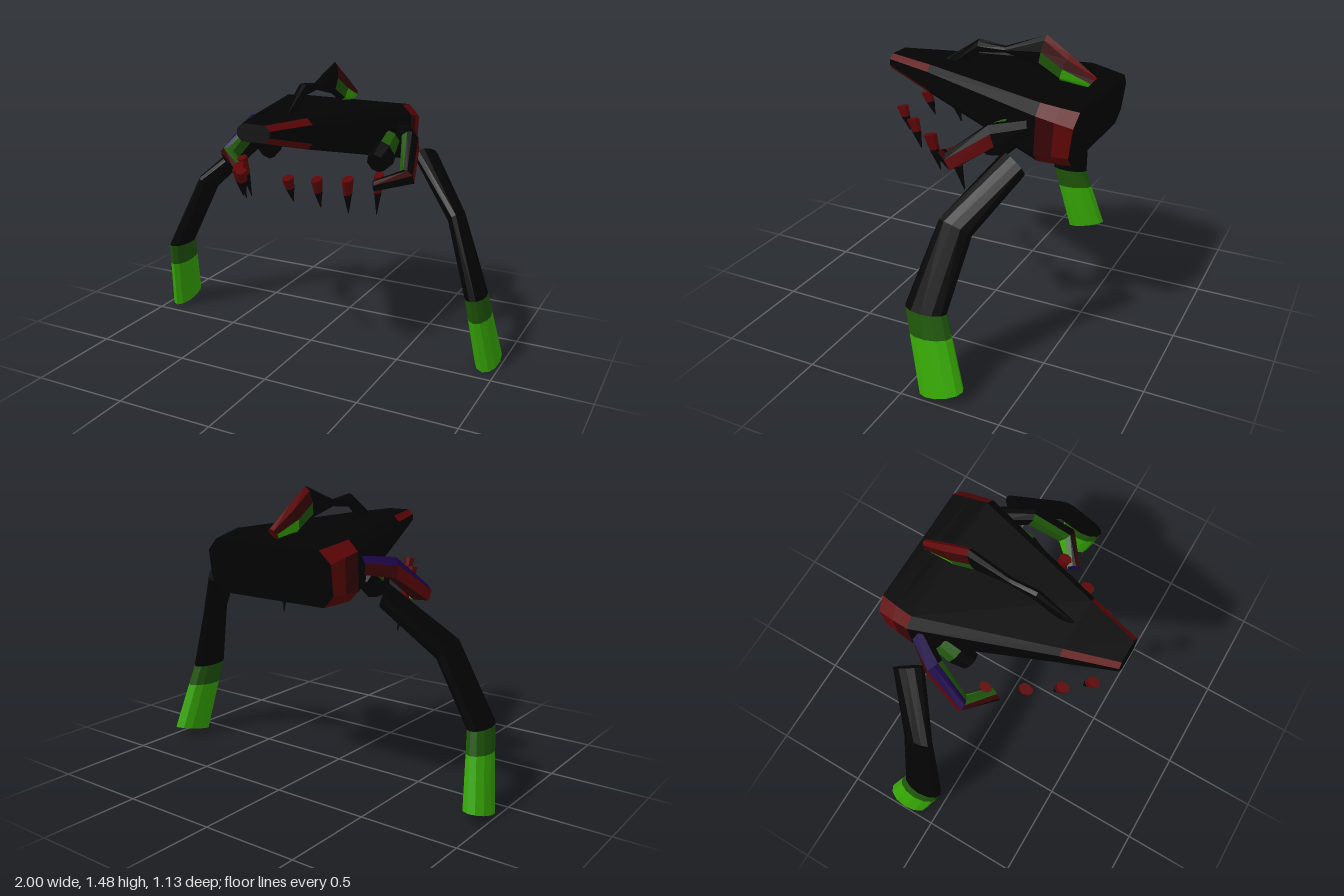
import * as THREE from 'three';

const mat = (name, color) => {
  const m = new THREE.MeshStandardMaterial({ color });
  m.name = name;
  return m;
};
const MATS = [mat('black', 0x030303), mat('red', 0x5e0506), mat('dark red', 0x380405),
  mat('bright green', 0x37a905), mat('dark green', 0x1f560a), mat('purple', 0x1a0445)];
const BLACK = 0, RED = 1, DARK_RED = 2, GREEN = 3, DARK_GREEN = 4, PURPLE = 5;

const V = (x, y, z) => new THREE.Vector3(x, y, z);

// Elliptical ring around centre c with half axes u and v
function ellipse(c, u, v, n) {
  return Array.from({ length: n }, (_, i) => {
    const a = (i / n) * Math.PI * 2;
    return V(...c).addScaledVector(V(...u), Math.cos(a)).addScaledVector(V(...v), Math.sin(a));
  });
}

const blend = (ringA, ringB, t) => ringA.map((p, i) => p.clone().lerp(ringB[i], t));

// Faceted closed loft through rings; pick(segment, side) chooses the colour of each panel
function loft(name, rings, pick, caps = [BLACK, BLACK], mirror = 1) {
  const buckets = MATS.map(() => []);
  const n = rings[0].length;
  for (let s = 0; s < rings.length - 1; s++) {
    for (let i = 0; i < n; i++) {
      const j = (i + 1) % n, A = rings[s], B = rings[s + 1];
      buckets[pick(s, i)].push([A[i], A[j], B[j]], [A[i], B[j], B[i]]);
    }
  }
  const first = rings[0], last = rings[rings.length - 1];
  for (let i = 1; i < n - 1; i++) {
    buckets[caps[0]].push([first[0], first[i + 1], first[i]]);
    buckets[caps[1]].push([last[0], last[i], last[i + 1]]);
  }
  // Signed volume tells whether the corners need turning round
  const o = first[0];
  let volume = 0;
  for (const [a, b, c] of buckets.flat()) {
    volume += a.clone().sub(o).dot(b.clone().sub(o).cross(c.clone().sub(o)));
  }
  const flip = volume * mirror < 0;
  const geo = new THREE.BufferGeometry();
  const pos = [], used = [];
  buckets.forEach((tris, m) => {
    if (!tris.length) return;
    geo.addGroup(pos.length / 3, tris.length * 3, used.length);
    used.push(MATS[m]);
    for (const [a, b, c] of tris) {
      for (const p of flip ? [a, c, b] : [a, b, c]) pos.push(p.x * mirror, p.y, p.z);
    }
  });
  geo.setAttribute('position', new THREE.Float32BufferAttribute(pos, 3));
  geo.computeVertexNormals();
  const mesh = new THREE.Mesh(geo, used);
  mesh.name = name;
  return mesh;
}

// Chamfered rectangle across the body
function bodyRing([zTop, zBot, w, top, bot, c]) {
  const pts = [[w, top - c], [w - c, top], [c - w, top], [-w, top - c],
    [-w, bot + c], [c - w, bot], [w - c, bot], [w, bot + c]];
  return pts.map(([x, y]) => V(x, y, THREE.MathUtils.mapLinear(y, bot, top, zBot, zTop)));
}

// Wedge body with red snout edges and red rear corners
function body() {
  const rings = [
    [0.56, 0.57, 0.085, 1.3, 1.22, 0.025],
    [0.3, 0.3, 0.165, 1.295, 1.145, 0.03],
    [-0.385, -0.375, 0.39, 1.265, 0.98, 0.05],
    [-0.475, -0.455, 0.382, 1.25, 0.975, 0.055],
    [-0.565, -0.53, 0.37, 1.235, 0.97, 0.06],
  ].map(bodyRing);
  return loft('body', rings, (s, i) => {
    const chamfer = i % 2 === 0;
    if (s === 0) return chamfer ? RED : BLACK;
    if (s === 1 || i === 1 || i === 5) return BLACK;
    return s === 2 && !chamfer ? DARK_RED : RED;
  });
}

// Arched tail over the back, ending in a blade with a red crest and green flanks
function tail() {
  const rings = [
    // top z, top y, bottom z, bottom y, half width
    [0.29, 1.29, 0.18, 1.27, 0.015],
    [0.09, 1.42, 0.09, 1.35, 0.025],
    [-0.055, 1.4, -0.055, 1.365, 0.02],
    [-0.27, 1.48, -0.23, 1.32, 0.03],
    [-0.39, 1.4, -0.34, 1.262, 0.035],
    [-0.53, 1.3, -0.485, 1.25, 0.025],
  ].map(([zt, yt, zb, yb, w]) =>
    ellipse([0, (yt + yb) / 2, (zt + zb) / 2], [w, 0, 0], [0, (yt - yb) / 2, (zt - zb) / 2], 8));
  const blade = [
    [DARK_RED, RED, RED, DARK_RED, DARK_GREEN, BLACK, BLACK, DARK_GREEN],
    [DARK_RED, RED, RED, DARK_RED, GREEN, GREEN, GREEN, GREEN],
  ];
  return loft('tail', rings, (s, i) => (s < 3 ? BLACK : blade[s - 3][i]), [BLACK, RED]);
}

// Bowed leg: bright green foot, dark green ankle band, black above
function leg(m) {
  const foot = ellipse([0.935, 0.032, -0.178], [0.063, -0.004, 0], [0, -0.03, 0.112], 12);
  const ankle = ellipse([0.88, 0.41, -0.078], [0.052, 0, 0], [0, 0, 0.106], 12);
  const rings = [
    foot, blend(foot, ankle, 0.7), ankle,
    ellipse([0.735, 0.77, -0.157], [0.035, 0.028, 0], [0, 0.022, 0.083], 12),
    ellipse([0.5, 1.02, -0.33], [0.037, 0.026, -0.03], [-0.02, 0.038, 0.063], 12),
  ];
  return loft('leg', rings, (s) => [GREEN, DARK_GREEN, BLACK, BLACK][s], [GREEN, BLACK], m);
}

// Bent grasping arm, coloured differently on the two sides of the body
function arm(m) {
  const section = [[1, 0.3], [1, -1], [-1, -1], [-1, 0.6], [-0.3, 1], [0.3, 1]];
  const rings = [
    [[0.37, 1.145, -0.33], [0.035, 0, -0.02], [0, 0.04, 0]],
    [[0.46, 1.125, -0.2], [0.038, 0, -0.015], [0, 0.045, 0.015]],
    [[0.515, 0.985, -0.02], [0.037, 0, 0.01], [0, 0.035, 0.02]],
    [[0.385, 0.95, 0.09], [0.014, 0, 0.027], [0, 0.022, 0]],
  ].map(([c, o, t]) => section.map(([a, b]) =>
    V(...c).addScaledVector(V(...o), a).addScaledVector(V(...t), b)));
  const top = m > 0 ? BLACK : PURPLE;
  const foreTop = m > 0 ? BLACK : DARK_GREEN;
  // outer, bottom, inner, inner bevel, top, outer bevel
  const panels = [
    [m > 0 ? BLACK : DARK_RED, BLACK, BLACK, BLACK, top, top],
    [RED, DARK_RED, DARK_GREEN, DARK_GREEN, top, top],
    [BLACK, BLACK, GREEN, DARK_GREEN, foreTop, DARK_RED],
  ];
  return loft('arm', rings, (s, i) => panels[s][i], [BLACK, m > 0 ? PURPLE : RED], m);
}

// Stubby eye stalk below the body edge
function eye(m) {
  const rings = [
    ellipse([0.33, 1.1, -0.25], [0.052, 0, 0], [0, 0.06, 0.035], 8),
    ellipse([0.33, 1.045, -0.17], [0.058, 0, 0], [0, 0.075, 0.04], 8),
    ellipse([0.32, 1.01, -0.095], [0.05, 0, 0], [0, 0.055, 0.035], 8),
  ];
  return loft('eyeStalk', rings, (s, i) => (s === 0 && i < 2 ? DARK_GREEN : BLACK), undefined, m);
}

// Hanging fang: red root and black point
function fang([bx, by, bz, tx, ty, tz, r], m) {
  const base = V(bx, by, bz), tip = V(tx, ty, tz);
  const rings = [[0, 1], [0.42, 0.75], [1, 0.06]].map(([t, k]) =>
    ellipse(base.clone().lerp(tip, t).toArray(), [r * 0.75 * k, 0, 0], [0, -r * 0.25 * k, r * k], 8));
  return loft('fang', rings, (s) => (s === 0 ? RED : BLACK), [RED, BLACK], m);
}

export function createModel() {
  const model = new THREE.Group();
  model.name = 'creature';
  model.add(body(), tail());
  const fangs = [
    [0.125, 1.048, 0.475, 0.13, 0.925, 0.43, 0.033],
    [0.215, 1.025, 0.36, 0.215, 0.875, 0.315, 0.034],
    [0.305, 1, 0.21, 0.29, 0.815, 0.165, 0.036],
    [0.392, 0.99, 0.035, 0.365, 0.77, -0.01, 0.033],
  ];
  for (const [side, m] of [['left', 1], ['right', -1]]) {
    const group = new THREE.Group();
    group.name = side + 'Limbs';
    group.add(leg(m), arm(m), eye(m), ...fangs.map((f) => fang(f, m)));
    model.add(group);
  }
  return model;
}
